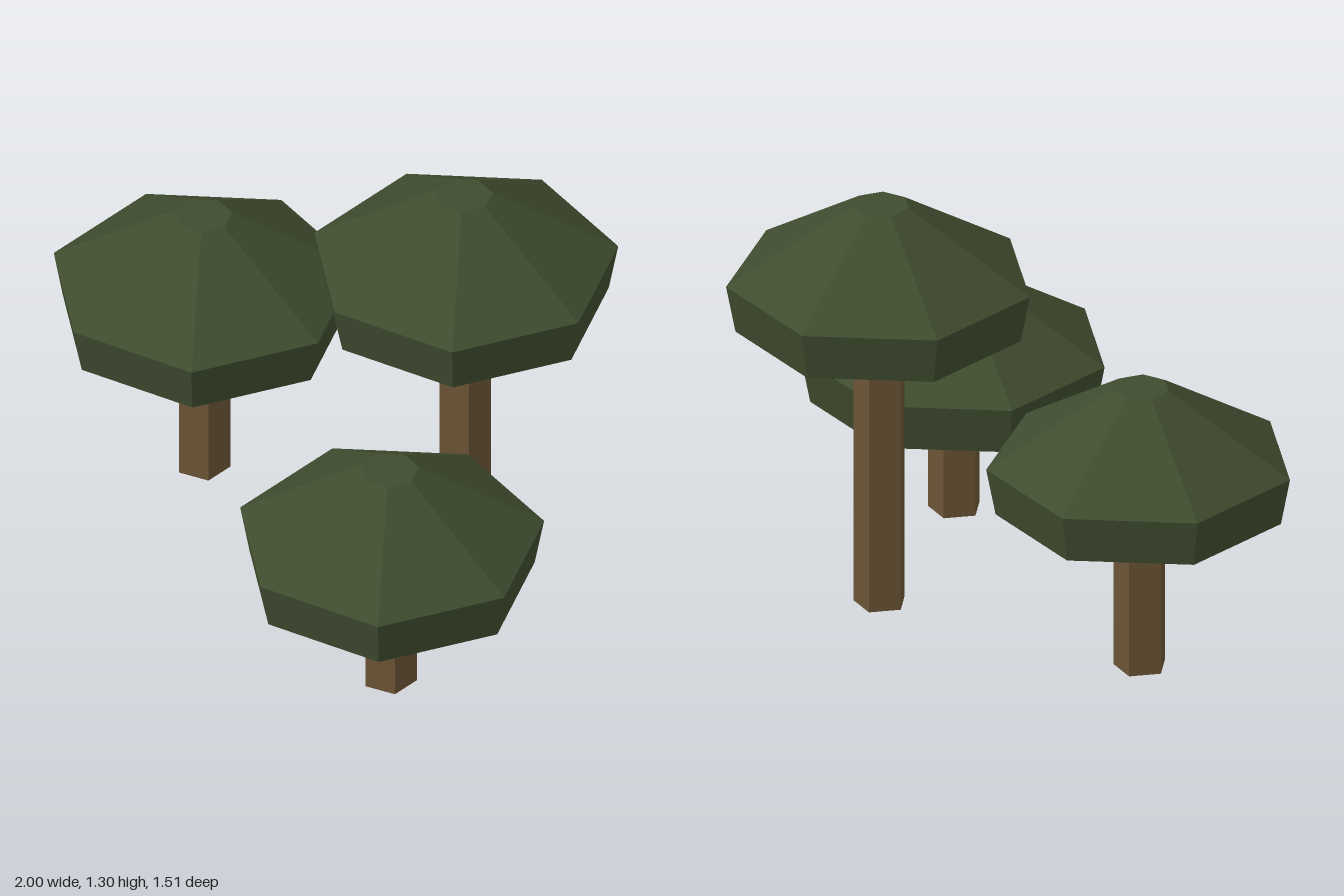
import * as THREE from 'three';

const CAP_RADIUS = 0.46;
const CAP_SIDES = 7;
const STEM_SIDES = 5;

// Cap: flared rim below a sloping roof with a small flat top; origin at its underside
function createCap(material) {
  const profile = [[0, 0], [0.432, 0], [CAP_RADIUS, 0.148], [0.087, 0.385], [0, 0.385]]
    .map(([r, y]) => new THREE.Vector2(r, y));
  const cap = new THREE.Mesh(new THREE.LatheGeometry(profile, CAP_SIDES, Math.PI / 2), material);
  cap.name = 'cap';
  return cap;
}

// Stem: five-sided post with one corner towards -x, reaching slightly into the cap
function createStem(height, material) {
  const length = height + 0.02;
  const geometry = new THREE.CylinderGeometry(0.081, 0.081, length, STEM_SIDES, 1, false, -Math.PI / 2);
  geometry.translate(0, length / 2, 0);
  const stem = new THREE.Mesh(geometry, material);
  stem.name = 'stem';
  return stem;
}

export function createModel() {
  const model = new THREE.Group();
  model.name = 'mushroomCluster';
  const green = new THREE.MeshStandardMaterial({ color: 0x3f4c2f, flatShading: true });
  const brown = new THREE.MeshStandardMaterial({ color: 0x6b5436, flatShading: true });

  // Three identical caps on stems of different height
  const mushrooms = [
    { name: 'tallMushroom', x: 0.267, z: -0.308, height: 0.915 },
    { name: 'middleMushroom', x: -0.586, z: -0.1, height: 0.526 },
    { name: 'shortMushroom', x: 0.537, z: 0.304, height: 0.377 },
  ];
  for (const { name, x, z, height } of mushrooms) {
    const mushroom = new THREE.Group();
    mushroom.name = name;
    const cap = createCap(green);
    cap.position.y = height;
    mushroom.add(createStem(height, brown), cap);
    mushroom.position.set(x, 0, z);
    model.add(mushroom);
  }
  return model;
}
